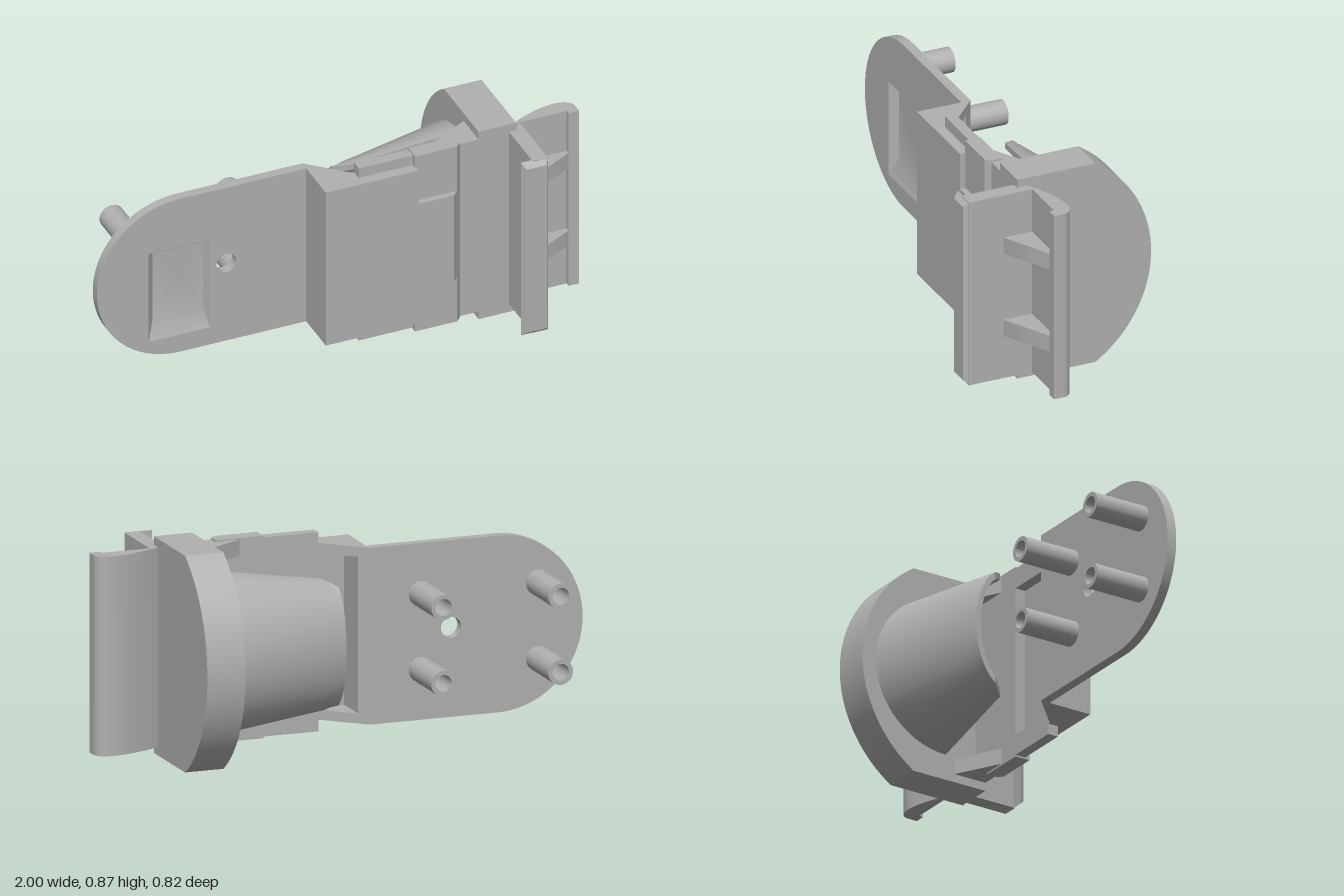
import * as THREE from 'three';
import { toCreasedNormals } from 'three/addons/utils/BufferGeometryUtils.js';

const MID = 0.435; // height of the long centre line

export function createModel() {
  const model = new THREE.Group();
  model.name = 'clipHolder';
  const grey = new THREE.MeshStandardMaterial({ color: 0xb0b0b0, side: THREE.DoubleSide });
  grey.name = 'grey plastic';

  const add = (name, geometry) => {
    const mesh = new THREE.Mesh(toCreasedNormals(geometry, 0.5), grey);
    mesh.name = name;
    model.add(mesh);
    return mesh;
  };
  const shapeOf = (pts) => new THREE.Shape(pts.map(([a, b]) => new THREE.Vector2(a, b)));
  const extrude = (shape, depth) =>
    new THREE.ExtrudeGeometry(shape, { depth, bevelEnabled: false, curveSegments: 32 });
  const circle = (x, y, r) => new THREE.Path().absarc(x, y, r, 0, Math.PI * 2, true);

  // outline in x, z raised from y0 to y1
  const prism = (name, pts, y0, y1) =>
    add(name, extrude(shapeOf(pts.map(([x, z]) => [x, -z])), y1 - y0).rotateX(-Math.PI / 2).translate(0, y0, 0));
  const mirrored = (name, pts, y0, y1) => {
    prism(name + 'Lower', pts, y0, y1);
    prism(name + 'Upper', pts, 2 * MID - y1, 2 * MID - y0);
  };
  const rect = (x0, x1, z0, z1) => [[x0, z0], [x1, z0], [x1, z1], [x0, z1]];

  // skin stretched over rows of equally many points
  const loft = (name, rows) => {
    const n = rows[0].length, index = [];
    for (let i = 0; i < rows.length - 1; i++) {
      for (let j = 0; j < n - 1; j++) {
        const a = i * n + j, b = a + n;
        index.push(a, b, a + 1, a + 1, b, b + 1);
      }
    }
    const g = new THREE.BufferGeometry();
    g.setAttribute('position', new THREE.Float32BufferAttribute(rows.flat(2), 3));
    g.setIndex(index);
    g.computeVertexNormals();
    return add(name, g);
  };

  // rounded plate, with a window in its front layer
  const plate = () => {
    const s = new THREE.Shape();
    s.moveTo(-0.11, MID - 0.355);
    s.lineTo(-0.11, MID + 0.355);
    s.lineTo(-0.645, MID + 0.355);
    s.absarc(-0.645, MID, 0.355, Math.PI / 2, Math.PI * 1.5, false);
    s.closePath();
    s.holes.push(circle(-0.45, 0.44, 0.042));
    return s;
  };
  const rim = [[-0.78, 0.16], [-0.52, 0.16], [-0.52, 0.567], [-0.78, 0.567]];
  const base = [[-0.75, 0.24], [-0.535, 0.24], [-0.535, 0.545], [-0.75, 0.545]];
  const front = plate();
  front.holes.push(shapeOf(rim));
  add('plateFront', extrude(front, 0.033).translate(0, 0, -0.013));
  add('plateBack', extrude(plate(), 0.007).translate(0, 0, -0.02));
  const ringRow = (pts, z) => [...pts, pts[0]].map(([x, y]) => [x, y, z]);
  loft('windowPocket', [ringRow(rim, 0.02), ringRow(base, -0.01), ringRow(Array(4).fill([-0.64, 0.39]), -0.01)]);

  // hollow posts on the back
  for (const x of [-0.815, -0.325]) {
    for (const y of [0.282, 0.587]) {
      const s = new THREE.Shape().absarc(x, y, 0.051, 0, Math.PI * 2, false);
      s.holes.push(circle(x, y, 0.034));
      add('post', extrude(s, 0.24).translate(0, 0, -0.26));
    }
  }

  // stepped channel: end wall, side walls, floor
  prism('channelEndWall', [[-0.11, -0.02], [-0.075, 0.015], [-0.075, 0.21], [-0.11, 0.21]], 0.08, 0.79);
  mirrored('channelSideWall', [[-0.11, -0.02], [0.04, 0.12], [0.285, 0.12], [0.285, 0.21], [-0.11, 0.21]], 0.08, 0.12);
  prism('channelFloor', rect(-0.1, 0.285, 0.165, 0.21), 0.1, 0.77);
  prism('channelFloorEnd', [[0.28, 0.165], [0.28, 0.21], [0.435, 0.21], [0.48, 0.165]], 0.235, 0.635);
  mirrored('recessedTab', [[0.28, 0.12], [0.28, 0.185], [0.46, 0.185], [0.48, 0.165], [0.48, 0.12]], 0.028, 0.235);
  mirrored('rampedFlange', [[0.05, 0.12], [0.38, 0.12], [0.56, 0.02], [0.56, 0.165], [0.05, 0.165]], 0.035, 0.1);
  prism('bridge', rect(0.28, 0.72, 0.12, 0.165), 0.035, 0.835);

  // collar with a tapered bore
  const collar = (r, frontZ) => {
    const s = new THREE.Shape();
    const a = Math.atan2(0.435, 0.276);
    s.moveTo(-0.165, 0);
    s.lineTo(0.17, 0);
    s.absarc(-0.106, MID, 0.515, -a, a, false);
    s.lineTo(-0.165, 0.87);
    s.closePath();
    const h = new THREE.Path();
    h.moveTo(-frontZ, MID + r);
    h.lineTo(0.015, MID + r);
    h.absarc(0.015, MID, r, Math.PI / 2, -Math.PI / 2, true);
    h.lineTo(-frontZ, MID - r);
    h.closePath();
    s.holes.push(h);
    return s;
  };
  const alongX = (shape, x, depth) => extrude(shape, depth).rotateY(Math.PI / 2).translate(x, 0, 0);
  add('collar', alongX(collar(0.365, 0.12), 0.575, 0.145));
  add('collarBackFace', alongX(collar(0.303, 0.12), 0.56, 0.015));

  // arc open to the front, at one station along x
  const arc = (x, cz, ry, rz, t0 = 0) => Array.from({ length: 41 }, (_, i) => {
    const t = t0 + (Math.PI - 2 * t0) * i / 40;
    return [x, MID + ry * Math.cos(t), cz - rz * Math.sin(t)];
  });
  const bore = (x, r) => [[x, MID + r, 0.12], ...arc(x, -0.015, r, r), [x, MID - r, 0.12]];
  loft('collarBore', [bore(0.56, 0.295), bore(0.72, 0.365)]);

  // half funnel tapering away from the collar
  const outer = [arc(0.565, -0.02, 0.328, 0.328), arc(0.11, -0.065, 0.263, 0.16), arc(0.06, -0.07, 0.255, 0.14, 0.365)];
  const inner = [arc(0.565, -0.02, 0.296, 0.292), arc(0.11, -0.065, 0.238, 0.138), arc(0.06, -0.07, 0.23, 0.118, 0.435)];
  loft('funnel', [...outer, ...inner.slice().reverse()]);
  for (const k of [0, 40]) {
    loft('funnelEdge', [outer.map((r) => r[k]), inner.map((r) => r[k])]);
  }

  // paddle with a chamfered lip
  prism('paddle', [[0.69, 0.165], [0.72, 0.165], [0.72, 0.12], [0.755, 0.12], [0.755, 0.39], [0.69, 0.39]], 0.035, 0.835);
  const lip = new THREE.BoxGeometry(0.115, 0.802, 0.025);
  const p = lip.attributes.position;
  for (let i = 0; i < p.count; i++) {
    if (p.getZ(i) > 0) p.setXY(i, p.getX(i) * 0.74, p.getY(i) * 0.945);
  }
  add('paddleLip', lip.translate(0.7, MID, 0.3965));

  // curved finger lever with two ribs
  const lever = new THREE.Shape();
  lever.moveTo(0.72, -0.12);
  lever.bezierCurveTo(0.8, -0.075, 0.88, -0.05, 0.93, -0.05);
  lever.bezierCurveTo(0.975, -0.05, 1, -0.07, 1, -0.1);
  lever.lineTo(1, -0.137);
  lever.lineTo(0.955, -0.137);
  lever.lineTo(0.955, -0.118);
  lever.lineTo(0.755, -0.118);
  lever.lineTo(0.72, -0.145);
  lever.closePath();
  add('lever', extrude(lever, 0.802).rotateX(-Math.PI / 2).translate(0, 0.034, 0));
  mirrored('leverRib', [[0.75, 0.115], [0.955, 0.115], [0.955, 0.135], [0.755, 0.24], [0.75, 0.24]], 0.22, 0.29);

  return model;
}
